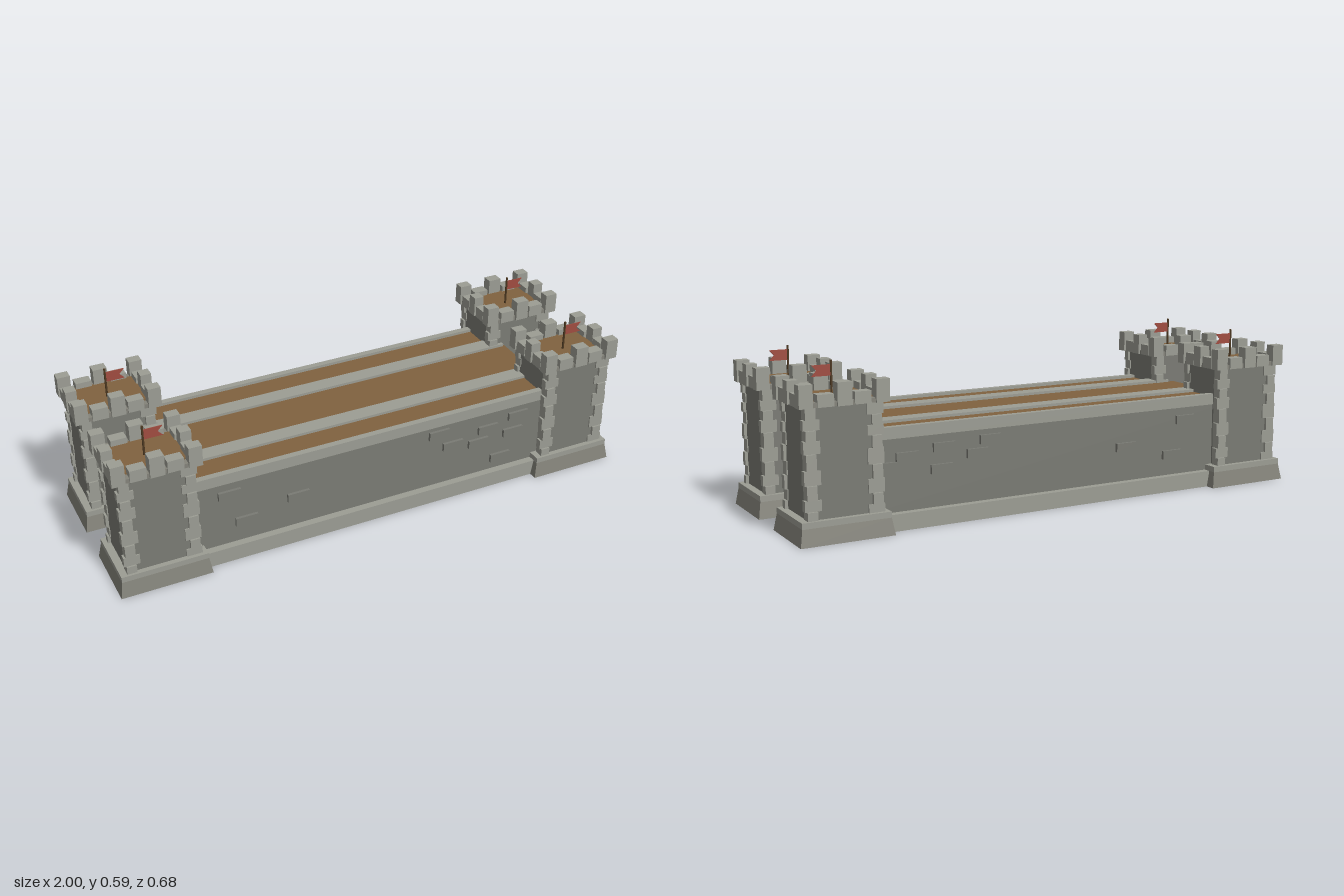
import * as THREE from 'three';

const mat = (color, side = THREE.FrontSide) => new THREE.MeshStandardMaterial({ color, side });
const WALL = mat(0x7a7b74), TRIM = mat(0x9c9d94), BASE = mat(0x84837a);
const WOOD = mat(0x80623f), POLE = mat(0x4f3a22), CLOTH = mat(0xa04c40, THREE.DoubleSide);

function add(parent, name, geometry, material) {
  const mesh = new THREE.Mesh(geometry, material);
  mesh.name = name;
  parent.add(mesh);
  return mesh;
}

// Box given by its limits on each axis
function block(parent, name, material, [x0, x1], [y0, y1], [z0, z1]) {
  const mesh = add(parent, name, new THREE.BoxGeometry(x1 - x0, y1 - y0, z1 - z0), material);
  mesh.position.set((x0 + x1) / 2, (y0 + y1) / 2, (z0 + z1) / 2);
  return mesh;
}

// Box whose top is smaller than its foot
function slopedBase(parent, name, material, hx, hz, inset, height) {
  const g = new THREE.BoxGeometry(hx * 2, height, hz * 2).translate(0, height / 2, 0);
  const p = g.attributes.position;
  for (let i = 0; i < p.count; i++) {
    if (p.getY(i) > height / 2) {
      p.setX(i, p.getX(i) - Math.sign(p.getX(i)) * inset);
      p.setZ(i, p.getZ(i) - Math.sign(p.getZ(i)) * inset);
    }
  }
  g.computeVertexNormals();
  return add(parent, name, g, material);
}

// Interlocking corner stones up all four edges
function cornerStones(tower) {
  const levels = [0.08, 0.111, 0.149, 0.198, 0.247, 0.302, 0.345, 0.38, 0.415, 0.456];
  for (const sx of [-1, 1]) for (const sz of [-1, 1]) {
    for (let i = 0; i < levels.length - 1; i++) {
      const long = (i + (sx * sz > 0 ? 1 : 0)) % 2;
      const ox = long ? 0.141 : 0.134, oz = long ? 0.108 : 0.113;
      const lx = long ? 0.058 : 0.036, lz = long ? 0.024 : 0.036;
      const stone = block(tower, 'cornerStone', TRIM, [ox - lx, ox], [levels[i], levels[i + 1] - 0.001], [oz - lz, oz]);
      stone.position.x *= sx;
      stone.position.z *= sz;
    }
  }
}

// Parapet: tall blocks at corners and middles, low blocks between
function battlements(tower) {
  const hx = 0.158, hz = 0.126, d = 0.04;
  const merlon = (x, z, wx, wz, top) =>
    block(tower, 'merlon', TRIM, [x - wx / 2, x + wx / 2], [0.455, top], [z - wz / 2, z + wz / 2]);
  for (const s of [-1, 1]) {
    for (const t of [-1, 1]) {
      merlon(s * (hx - 0.024), t * (hz - 0.019), 0.048, 0.038, 0.533);
      merlon(s * 0.065, t * (hz - d / 2 - 0.004), 0.058, d, t > 0 ? 0.5 : 0.497);
      merlon(t * (hx - d / 2 - 0.004), s * 0.054, d, 0.052, s > 0 ? 0.5 : 0.497);
    }
    merlon(0, s * (hz - d / 2), 0.052, d, 0.533);
    merlon(s * (hx - d / 2), 0.002, d, 0.04, 0.533);
  }
}

// Pole with a swallow-tailed pennant
function flag(tower) {
  const pole = add(tower, 'flagPole', new THREE.CylinderGeometry(0.004, 0.004, 0.12, 8), POLE);
  pole.position.set(-0.007, 0.528, 0.01);
  const s = new THREE.Shape();
  s.moveTo(0, 0);
  s.lineTo(0.068, 0);
  s.lineTo(0.05, 0.019);
  s.lineTo(0.068, 0.038);
  s.lineTo(0, 0.038);
  const cloth = add(tower, 'pennant', new THREE.ExtrudeGeometry(s, { depth: 0.003, bevelEnabled: false }), CLOTH);
  cloth.position.set(-0.005, 0.535, 0.0085);
}

function makeTower(x, z) {
  const tower = new THREE.Group();
  tower.name = 'tower';
  slopedBase(tower, 'towerFoot', BASE, 0.168, 0.132, 0.01, 0.06);
  block(tower, 'footSlab', TRIM, [-0.158, 0.158], [0.06, 0.081], [-0.122, 0.122]);
  block(tower, 'towerBody', WALL, [-0.13, 0.13], [0.08, 0.456], [-0.103, 0.103]);
  cornerStones(tower);
  block(tower, 'rim', BASE, [-0.15, 0.15], [0.455, 0.471], [-0.118, 0.118]);
  block(tower, 'towerDeck', WOOD, [-0.118, 0.118], [0.465, 0.475], [-0.09, 0.09]);
  battlements(tower);
  flag(tower);
  tower.position.set(x, 0, z);
  return tower;
}

// Raised stones on a wall face: [x, y] centres
const frontStones = [[-0.57, 0.27], [-0.51, 0.145], [-0.31, 0.185], [0.26, 0.283], [0.32, 0.22],
  [0.47, 0.25], [0.43, 0.2], [0.6, 0.277], [0.58, 0.21], [0.53, 0.11]];
const backStones = [[0.64, 0.22], [0.59, 0.25], [0.45, 0.27], [0.27, 0.28], [0.32, 0.235],
  [0.46, 0.195], [-0.57, 0.27], [-0.3, 0.19], [-0.51, 0.14]];

function makeCurtainWall() {
  const wall = new THREE.Group();
  wall.name = 'curtainWall';
  block(wall, 'plinth', TRIM, [-0.797, 0.777], [0, 0.06], [-0.304, 0.304]);
  block(wall, 'wallBody', WALL, [-0.79, 0.77], [0.06, 0.317], [-0.276, 0.276]);
  block(wall, 'walkway', WOOD, [-0.79, 0.767], [0.317, 0.345], [-0.255, 0.255]);
  for (const s of [-1, 1]) {
    const coping = block(wall, 'coping', TRIM, [-0.76, 0.76], [0.315, 0.356], [0.255, 0.279]);
    const kerb = block(wall, 'kerb', TRIM, [-0.76, 0.76], [0.34, 0.355], [0.094, 0.155]);
    coping.position.z *= s;
    kerb.position.z *= s;
    for (const [x, y] of s > 0 ? frontStones : backStones) {
      block(wall, 'raisedStone', WALL, [x - 0.042, x + 0.042], [y - 0.016, y + 0.016],
        [s * 0.278 - 0.009, s * 0.278 + 0.009]);
    }
  }
  wall.position.z = 0.005;
  return wall;
}

export function createModel() {
  const fort = new THREE.Group();
  fort.name = 'fort';
  fort.add(makeCurtainWall());
  for (const x of [-0.832, 0.832]) for (const z of [0.209, -0.206]) fort.add(makeTower(x, z));
  return fort;
}
